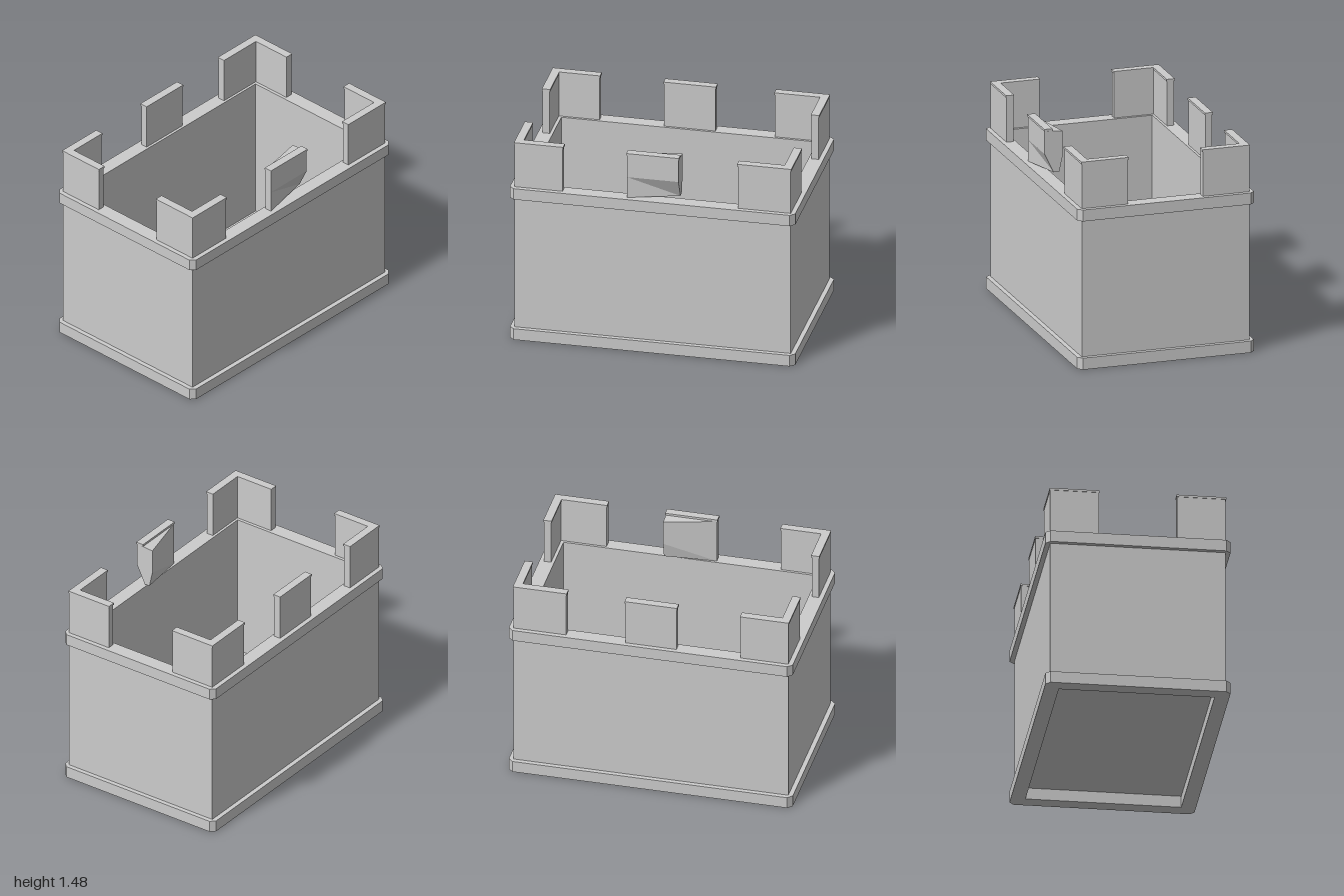
import * as THREE from 'three';

const material = new THREE.MeshStandardMaterial({ color: 0xcccccc, flatShading: true });

// Inner opening of the tower and top of the parapet rim
const INNER_X = 0.537, INNER_Z = 0.896, RIM_TOP = 1.145, MERLON_TOP = 1.465;
const WALL_X = 0.605, WALL_Z = 0.968, THICK = 0.05, CAP = 0.004;

// Closed outline from [x, z] pairs listed clockwise as seen from below
const outline = (points) => new THREE.Shape(points.map(([x, z]) => new THREE.Vector2(x, -z)).reverse());

// Upright prism between two heights, with an optional opening
function prism(name, points, y0, y1, opening) {
  const shape = outline(points);
  if (opening) shape.holes.push(outline(opening));
  const geometry = new THREE.ExtrudeGeometry(shape, { depth: y1 - y0, bevelEnabled: false });
  geometry.rotateX(-Math.PI / 2).translate(0, y0, 0);
  const mesh = new THREE.Mesh(geometry, material);
  mesh.name = name;
  return mesh;
}

const rect = (x0, x1, z0, z1) => [[x0, z0], [x1, z0], [x1, z1], [x0, z1]];

// Rectangle with cut corners
const chamfered = (x, z, c) => [
  [x - c, -z], [x, -z + c], [x, z - c], [x - c, z],
  [-x + c, z], [-x, z - c], [-x, -z + c], [-x + c, -z],
];

// L-shaped plan of a corner merlon, grown outward by o
function cornerPlan(sx, sz, armEndZ, o) {
  const x = WALL_X + o, z = WALL_Z + o;
  const ix = WALL_X - THICK - o, iz = WALL_Z - THICK - o;
  const ex = 0.27 - o, ez = armEndZ - o;
  return [[x, z], [ex, z], [ex, iz], [ix, iz], [ix, ez], [x, ez]].map(([a, b]) => [a * sx, b * sz]);
}

// Merlon body with a thin overhanging cap; plan(o) gives its outline grown by o
function merlon(name, plan) {
  const group = new THREE.Group();
  group.name = name;
  group.add(prism('merlonBody', plan(0), RIM_TOP, MERLON_TOP));
  group.add(prism('merlonCap', plan(CAP), MERLON_TOP, 1.48));
  return group;
}

// Damaged merlon: a straight front section joined to a bent back section
function bentBody() {
  const inX = WALL_X - THICK;
  const front = [[WALL_X, RIM_TOP], [WALL_X, 1.3], [WALL_X, MERLON_TOP],
    [inX, MERLON_TOP], [inX, 1.3], [inX, RIM_TOP]];
  const back = [[0.54, 1.165], [WALL_X, 1.3], [WALL_X, MERLON_TOP],
    [0.475, 1.455], [0.475, 1.28], [0.5, 1.165]];
  const n = front.length, positions = [], index = [];
  front.forEach(([x, y]) => positions.push(x, y, 0.18));
  back.forEach(([x, y]) => positions.push(x, y, -0.18));
  for (let i = 0; i < n; i++) {
    const j = (i + 1) % n;
    index.push(i, n + i, j, j, n + i, n + j);
  }
  for (const [a, b, c, d] of [[0, 1, 4, 5], [1, 2, 3, 4]]) {
    index.push(a, b, c, a, c, d, n + c, n + b, n + a, n + d, n + c, n + a);
  }
  const geometry = new THREE.BufferGeometry();
  geometry.setAttribute('position', new THREE.Float32BufferAttribute(positions, 3));
  geometry.setIndex(index);
  const flat = geometry.toNonIndexed();
  flat.computeVertexNormals();
  const mesh = new THREE.Mesh(flat, material);
  mesh.name = 'bentMerlonBody';
  return mesh;
}

export function createModel() {
  const model = new THREE.Group();
  model.name = 'castleTower';
  const opening = rect(-INNER_X, INNER_X, -INNER_Z, INNER_Z);

  // Base rim, walls, floor and parapet rim
  const rim = chamfered(0.638, 1, 0.032);
  model.add(prism('baseRim', rim, 0, 0.083, opening));
  model.add(prism('walls', rect(-WALL_X, WALL_X, -WALL_Z, WALL_Z), 0.083, 1.063, opening));
  model.add(prism('floor', opening, 0.083, 0.1));
  model.add(prism('parapetRim', rim, 1.063, RIM_TOP, opening));

  // Corner merlons
  for (const sx of [-1, 1]) {
    model.add(merlon('frontCornerMerlon', (o) => cornerPlan(sx, 1, 0.632, o)));
    model.add(merlon('backCornerMerlon', (o) => cornerPlan(sx, -1, 0.597, o)));
  }

  // Side merlons, the one on the left being bent inward
  const sidePlan = (o) => rect(WALL_X - THICK - o, WALL_X + o, -0.18 - o, 0.18 + o);
  model.add(merlon('rightMerlon', (o) => sidePlan(o).map(([x, z]) => [-x, z])));
  const bent = new THREE.Group();
  bent.name = 'leftMerlon';
  bent.add(bentBody(), prism('merlonCap', sidePlan(CAP), MERLON_TOP, 1.48));
  model.add(bent);

  return model;
}
